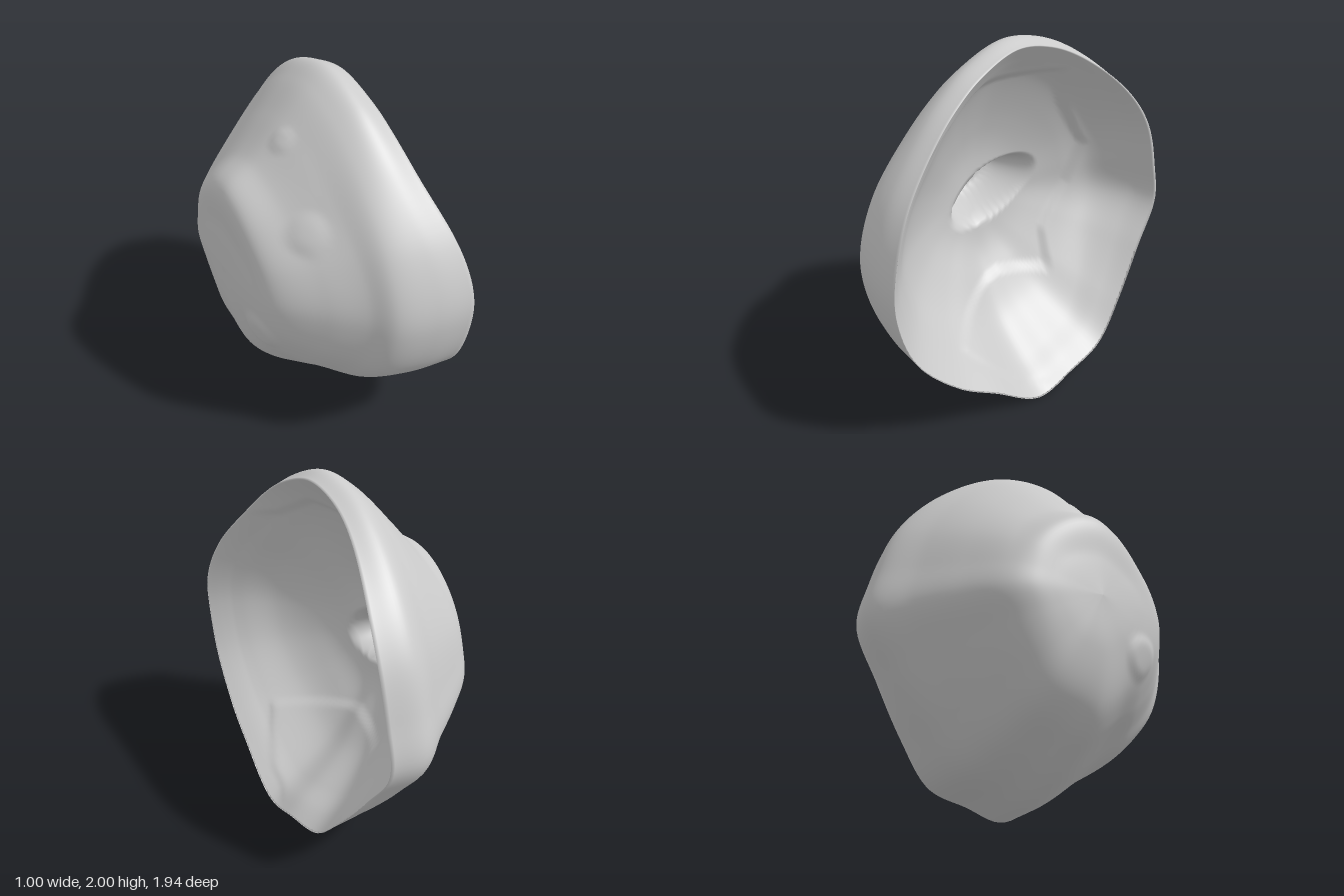
import * as THREE from 'three';

// Outline of the bowl seen from its open side, as [z, y]
const outline = [[0.05, 2], [0.3, 1.91], [0.46, 1.8], [0.62, 1.65], [0.85, 1.38], [0.96, 1.12], [0.97, 0.92],
  [0.88, 0.62], [0.65, 0.36], [0.42, 0.21], [0.1, 0.01], [-0.15, 0.06], [-0.4, 0.12], [-0.6, 0.33], [-0.8, 0.6],
  [-0.96, 0.87], [-0.92, 1.14], [-0.83, 1.42], [-0.66, 1.66], [-0.4, 1.87], [-0.18, 1.97]];

// Wall sections from the middle to the rim, as [share of outline, x]
const outerWall = {
  top: [[0, -0.5], [0.22, -0.49], [0.46, -0.47], [0.59, -0.31], [0.77, -0.15], [0.93, 0], [1, 0.11], [0.97, 0.21]],
  bottom: [[0, -0.5], [0.3, -0.475], [0.55, -0.4], [0.68, -0.3], [0.79, -0.15], [0.88, 0], [0.96, 0.2], [1, 0.5]],
  front: [[0, -0.5], [0.3, -0.48], [0.46, -0.44], [0.67, -0.25], [0.81, -0.1], [0.92, 0], [0.98, 0.2], [1, 0.4]],
  back: [[0, -0.5], [0.3, -0.48], [0.45, -0.45], [0.57, -0.38], [0.72, -0.2], [0.86, 0], [1, 0.2], [0.97, 0.39]],
};
const innerWall = {
  top: [[0, -0.15], [0.3, -0.13], [0.5, -0.07], [0.75, 0.05], [0.88, 0.14], [0.97, 0.21]],
  bottom: [[0, -0.15], [0.3, -0.12], [0.5, -0.02], [0.68, 0.1], [0.85, 0.3], [0.93, 0.42], [1, 0.5]],
  front: [[0, -0.15], [0.3, -0.11], [0.5, -0.03], [0.7, 0.1], [0.85, 0.26], [0.94, 0.35], [1, 0.4]],
  back: [[0, -0.15], [0.3, -0.13], [0.45, -0.09], [0.6, -0.03], [0.76, 0.05], [0.9, 0.23], [0.97, 0.39]],
};

// Slightly sunken area of the inner wall, as [z, y]
const recess = [[1.3, 1.63], [0.6, 1.63], [0.45, 1.66], [0.2, 1.8], [-0.35, 1.77], [-0.45, 1.55], [-0.66, 1.22],
  [-0.6, 0.95], [-0.4, 0.7], [-0.37, 0.48], [-0.05, 0.54], [0.45, 0.4], [0.2, 0.13], [0, 0.04], [0, -0.3], [1.3, -0.3]];

// Low lumps on the outside: x, y, z, radius, height
const lumps = [[-0.3, 1.43, 0.5, 0.15, 0.03], [0.05, 0.28, 0.7, 0.25, 0.02], [-0.17, 1.7, 0.1, 0.08, 0.02],
  [-0.42, 0.75, 0.3, 0.14, 0.02]];

// Signed distance to a polygon, positive inside
function insideDistance(poly, z, y) {
  let d = Infinity, inside = false;
  poly.forEach(([az, ay], i) => {
    const [bz, by] = poly[(i + 1) % poly.length];
    const ez = bz - az, ey = by - ay;
    const k = THREE.MathUtils.clamp(((z - az) * ez + (y - ay) * ey) / (ez * ez + ey * ey), 0, 1);
    d = Math.min(d, Math.hypot(z - az - k * ez, y - ay - k * ey));
    if ((ay > y) !== (by > y) && z < az + (y - ay) * ez / ey) inside = !inside;
  });
  return inside ? d : -d;
}

function sectionCurves(sections) {
  return Object.fromEntries(Object.entries(sections).map(([side, points]) =>
    [side, new THREE.CatmullRomCurve3(points.map(([r, x]) => new THREE.Vector3(r, x, 0)), false, 'centripetal')]));
}

export function createModel() {
  const group = new THREE.Group();
  const COLS = 160, ROWS = 64;
  const { smoothstep } = THREE.MathUtils;
  const rim = new THREE.CatmullRomCurve3(outline.map(([z, y]) => new THREE.Vector3(0, y, z)), true, 'centripetal');
  const rimPoints = Array.from({ length: COLS }, (_, i) => rim.getPoint(i / COLS));
  const outer = sectionCurves(outerWall), inner = sectionCurves(innerWall);

  // Point on a wall, blending its four sections around the bowl
  function wallPoint(curves, i, t) {
    const p = rimPoints[i], a = Math.atan2(p.z, p.y - 1);
    const c = Math.cos(a), s = Math.sin(a);
    const v = curves[c > 0 ? 'top' : 'bottom'].getPoint(t).multiplyScalar(c * c)
      .addScaledVector(curves[s > 0 ? 'front' : 'back'].getPoint(t), s * s);
    // The upper rim sits lower at the front and higher at the back
    const skew = c > 0 ? -0.05 * s * Math.sin(2 * a) ** 2 * t ** 3 : 0;
    return new THREE.Vector3(v.y + skew, 1 + (p.y - 1) * v.x, p.z * v.x);
  }

  const pos = [], index = [];
  // Outer wall out to the rim
  for (let j = 0; j <= ROWS; j++) {
    for (let i = 0; i < COLS; i++) {
      const p = wallPoint(outer, i, j / ROWS);
      const out = new THREE.Vector3(p.x - 0.4, p.y - 1, p.z).normalize();
      let h = 0;
      for (const [x, y, z, r, up] of lumps) {
        const d = Math.hypot(p.x - x, p.y - y, p.z - z);
        h += up * (1 - smoothstep(d, r * 0.5, r));
      }
      p.addScaledVector(out, h * (1 - j / ROWS));
      pos.push(p.x, p.y, p.z);
    }
  }
  // Inner wall back to the middle, with the recess and the pit in the floor
  for (let j = ROWS - 1; j >= 0; j--) {
    for (let i = 0; i < COLS; i++) {
      const t = j / ROWS, p = wallPoint(inner, i, t);
      p.x -= 0.02 * Math.min(1, (1 - t) * 4) * smoothstep(insideDistance(recess, p.z, p.y), -0.015, 0.03);
      const dz = p.z + 0.1, dy = p.y - 1.02;
      const e = Math.hypot((dz * 0.94 - dy * 0.34) / 0.31, (dz * 0.34 + dy * 0.94) / 0.16);
      p.x -= 0.25 * (1 - smoothstep(e, 0.55, 1.05));
      pos.push(p.x, p.y, p.z);
    }
  }
  for (let j = 0; j < 2 * ROWS; j++) {
    for (let i = 0; i < COLS; i++) {
      const a = j * COLS + i, b = j * COLS + (i + 1) % COLS;
      index.push(a, b, b + COLS, a, b + COLS, a + COLS);
    }
  }

  const geometry = new THREE.BufferGeometry();
  geometry.setAttribute('position', new THREE.Float32BufferAttribute(pos, 3));
  geometry.setIndex(index);
  geometry.computeVertexNormals();
  const shell = new THREE.Mesh(geometry, new THREE.MeshStandardMaterial({ color: 0xcccccc, side: THREE.DoubleSide }));
  shell.name = 'bowlShell';
  group.add(shell);
  return group;
}
